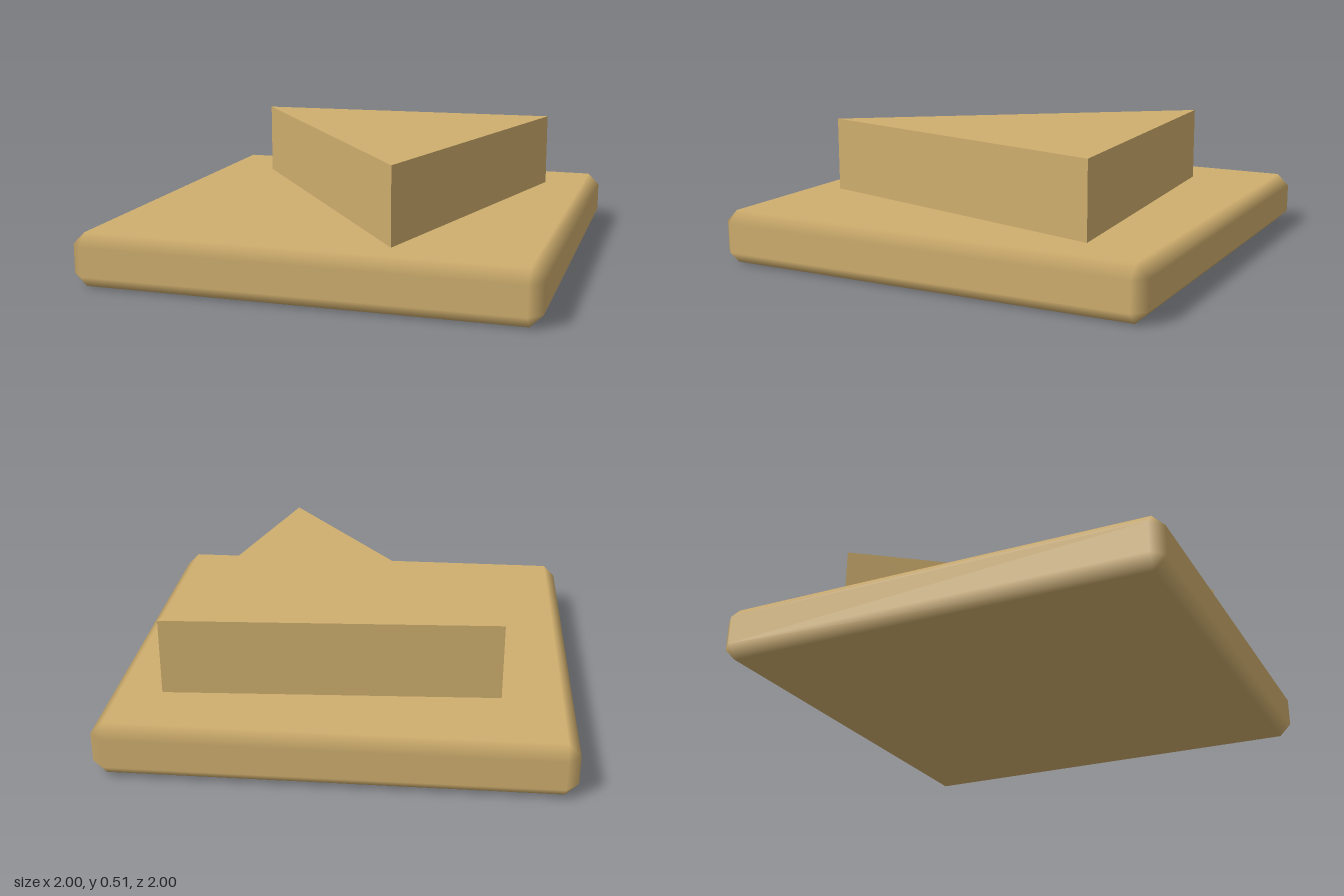
import * as THREE from 'three';

// Box with 45 degree chamfers; each vertex keeps its face normal, so the chamfers shade as rounded edges.
function chamferedBox(half, r) {
  const position = [], normal = [], index = [];
  const sign = (corner, axis) => ((corner >> axis) & 1 ? 1 : -1);
  const id = (corner, axis) => corner * 3 + axis;

  for (let c = 0; c < 8; c++) {
    for (let a = 0; a < 3; a++) {
      for (let k = 0; k < 3; k++) {
        position.push(sign(c, k) * (half[k] - (k === a ? 0 : r)));
        normal.push(k === a ? sign(c, k) : 0);
      }
    }
  }

  // Adds a triangle, turned to face outward
  const point = (i) => new THREE.Vector3().fromArray(position, i * 3);
  const tri = (a, b, c) => {
    const A = point(a), n = point(b).sub(A).cross(point(c).sub(A));
    index.push(...(n.dot(A) > 0 ? [a, b, c] : [a, c, b]));
  };
  const quad = (a, b, c, d) => { tri(a, b, c); tri(a, c, d); };

  for (let a = 0; a < 3; a++) {
    const b = 1 << ((a + 1) % 3), c = 1 << ((a + 2) % 3), bAxis = (a + 1) % 3, cAxis = (a + 2) % 3;
    // Two flat faces across this axis
    for (const s of [0, 1 << a]) quad(id(s, a), id(s + b, a), id(s + b + c, a), id(s + c, a));
    // Four chamfers running along this axis
    for (const e of [0, b, c, b + c]) {
      const f = e + (1 << a);
      quad(id(e, bAxis), id(f, bAxis), id(f, cAxis), id(e, cAxis));
    }
  }
  // Corner triangles
  for (let c = 0; c < 8; c++) tri(id(c, 0), id(c, 1), id(c, 2));

  const g = new THREE.BufferGeometry();
  g.setAttribute('position', new THREE.Float32BufferAttribute(position, 3));
  g.setAttribute('normal', new THREE.Float32BufferAttribute(normal, 3));
  g.setIndex(index);
  return g;
}

export function createModel() {
  const model = new THREE.Group();
  const tan = new THREE.MeshStandardMaterial({ color: 0xcfae6e });
  tan.name = 'tan';

  // Square plate, turned about 8 degrees
  const plate = new THREE.Mesh(chamferedBox([0.891, 0.105, 0.891], 0.048), tan);
  plate.name = 'basePlate';
  plate.position.y = 0.105;
  plate.rotation.y = 0.14;
  model.add(plate);

  // Triangular block standing on the plate (shape y is -z)
  const triangle = new THREE.Shape([[-0.68, 0.43], [0.42, -0.675], [0.59, 0.68]].map(([x, y]) => new THREE.Vector2(x, y)));
  const block = new THREE.Mesh(new THREE.ExtrudeGeometry(triangle, { depth: 0.3, bevelEnabled: false }), tan);
  block.name = 'triangularBlock';
  block.rotation.x = -Math.PI / 2;
  block.position.y = 0.21;
  model.add(block);

  return model;
}
